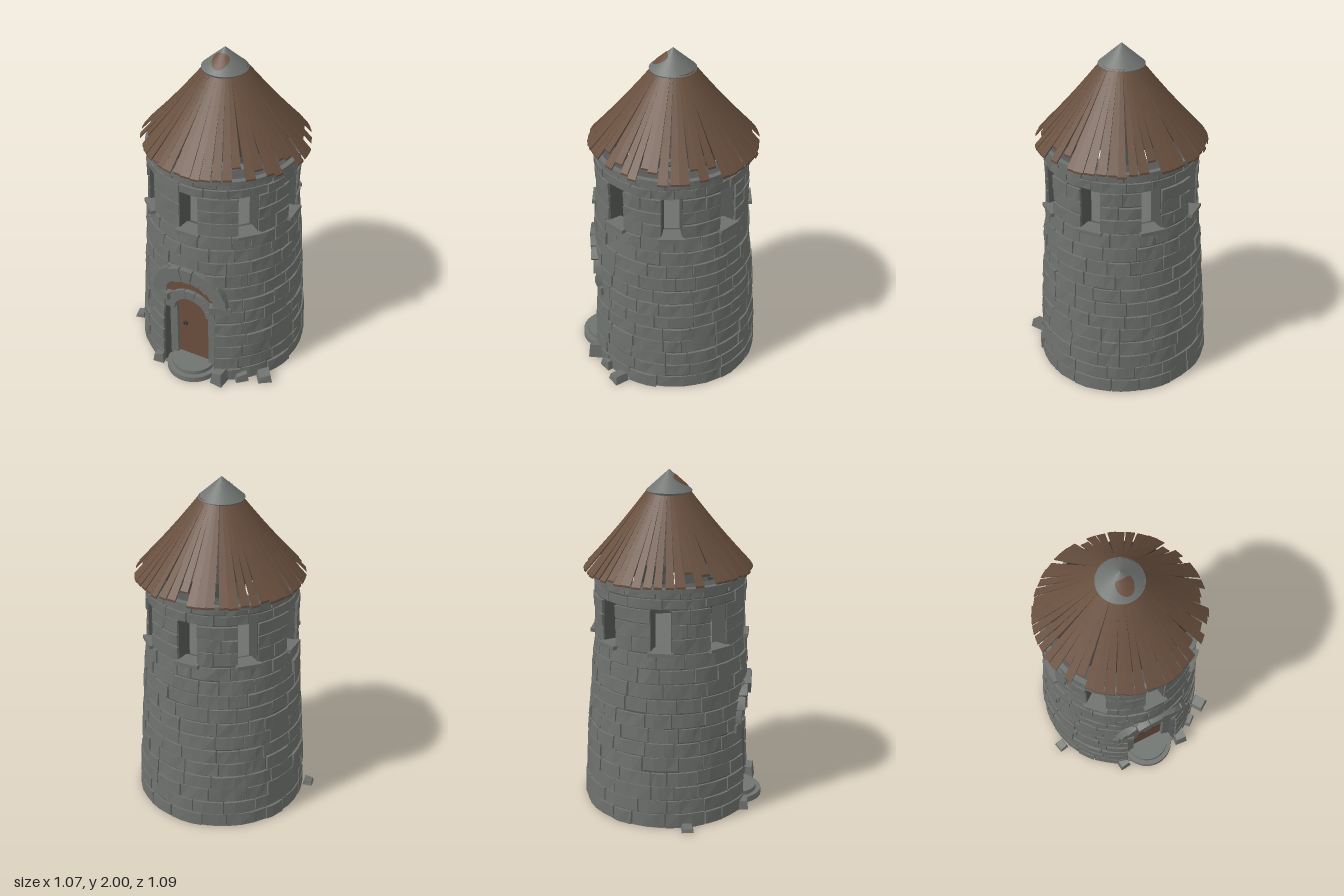
import * as THREE from 'three';
import { mergeGeometries } from 'three/addons/utils/BufferGeometryUtils.js';

const TAU = Math.PI * 2, CX = 0.01;
const mat = (name, color, extra = {}) => {
  const m = new THREE.MeshStandardMaterial({ color, ...extra });
  m.name = name;
  return m;
};
let seed = 7;
const rnd = (a = 0, b = 1) => {
  seed = (seed * 16807) % 2147483647;
  return a + (b - a) * seed / 2147483647;
};
const lerp = THREE.MathUtils.lerp;

// Tower profile: radius and centre at a height
const PROFILE = [[0, 0.512], [0.25, 0.5], [0.5, 0.485], [0.9, 0.458], [1.06, 0.444], [1.5, 0.44]];
function radius(y) {
  for (let i = 1; i < PROFILE.length; i++) {
    const [y0, r0] = PROFILE[i - 1], [y1, r1] = PROFILE[i];
    if (y <= y1) return lerp(r0, r1, (y - y0) / (y1 - y0));
  }
  return 0.44;
}
const centreZ = (y) => -0.032 + 0.012 * Math.min(y / 1.06, 1);
const wallPoint = (a, y, off) => {
  const r = radius(y) + off;
  return [CX + r * Math.sin(a), y, centreZ(y) + r * Math.cos(a)];
};
const wallZ = (x, y) => centreZ(y) + Math.sqrt(radius(y) ** 2 - x * x);

// Curved block following the wall; rough shifts its outer face
function block(a0, a1, y0, y1, off, depth, segs, rough = 0) {
  const sections = [], pos = [];
  for (let i = 0; i <= segs; i++) {
    const a = lerp(a0, a1, i / segs);
    const j = () => off + rnd(-rough, rough);
    sections.push([wallPoint(a, y0, off - depth), wallPoint(a, y0, j()),
      wallPoint(a, y1, j()), wallPoint(a, y1, off - depth)]);
  }
  const quad = (a, b, c, d) => pos.push(...a, ...b, ...c, ...a, ...c, ...d);
  for (let i = 0; i < segs; i++) {
    const s = sections[i], n = sections[i + 1];
    for (let k = 0; k < 4; k++) quad(s[k], n[k], n[(k + 1) % 4], s[(k + 1) % 4]);
  }
  const e = sections[segs];
  quad(...sections[0]);
  quad(e[3], e[2], e[1], e[0]);
  const g = new THREE.BufferGeometry();
  g.setAttribute('position', new THREE.Float32BufferAttribute(pos, 3));
  g.computeVertexNormals();
  return g;
}

// Wedge stones of an arch, each set against the curved wall
function archStones(cy, r0, r1, count, front, depth) {
  const stones = [];
  for (let i = 0; i < count; i++) {
    const a0 = Math.PI * i / count + 0.012, a1 = Math.PI * (i + 1) / count - 0.012;
    const out = r1 + rnd(-0.006, 0.006);
    const s = new THREE.Shape();
    s.absarc(0, 0, out, a0, a1, false);
    s.absarc(0, 0, r0, a1, a0, true);
    const g = new THREE.ExtrudeGeometry(s, { depth, bevelEnabled: false, curveSegments: 4 });
    const x = Math.cos((a0 + a1) / 2) * (r0 + r1) / 2;
    g.translate(CX, cy, front(x) - depth + rnd(-0.005, 0.005));
    stones.push(g);
  }
  return mergeGeometries(stones);
}

export function createModel() {
  const tower = new THREE.Group();
  tower.name = 'stoneTower';
  const stone = mat('stone', 0x6d706d, { flatShading: true });
  const mortar = mat('mortar', 0x555856, { flatShading: true });
  const smoothStone = mat('dressedStone', 0x707471);
  const wood = mat('roofWood', 0x69503f, { flatShading: true });
  const darkWood = mat('shadedWood', 0x3f3128, { side: THREE.DoubleSide });
  const doorWood = mat('doorWood', 0x6a4f3e);
  const iron = mat('iron', 0x35302c);
  const add = (name, geo, material, x = 0, y = 0, z = 0) => {
    const m = new THREE.Mesh(geo, material);
    m.name = name;
    m.position.set(x, y, z);
    tower.add(m);
    return m;
  };

  // Courses of stones over a core, leaving the doorway and eight windows open
  const DOOR = 0.35, WIN = 0.13, stones = [], core = [];
  const rows = [];
  for (let i = 0; i < 12; i++) rows.push([i * 0.0875, (i + 1) * 0.0875]);
  [1.05, 1.14, 1.22, 1.305, 1.365].forEach((y, i, l) => rows.push([y, l[i + 1] ?? 1.42]));
  rows.forEach(([y0, y1], r) => {
    let spans = [[0, TAU]];
    if (r < 8) spans = [[DOOR, TAU - DOOR]];
    if (r >= 12 && r < 15) {
      spans = Array.from({ length: 8 }, (_, i) => [i * TAU / 8 + WIN, (i + 1) * TAU / 8 - WIN]);
    }
    for (const [s0, s1] of spans) {
      const span = s1 - s0, full = span > 6.2;
      core.push(block(s0, s1, y0, y1, -0.01, 0.1, Math.max(4, Math.round(span * 9))));
      const n = Math.max(1, Math.round(span / 0.36 + rnd(-0.4, 0.4)));
      const shift = full ? rnd(0, 0.3) : 0;
      const cuts = Array.from({ length: n + 1 }, (_, i) =>
        s0 + shift + span * (i + (i > 0 && i < n ? rnd(-0.25, 0.25) : 0)) / n);
      for (let i = 0; i < n; i++) {
        const off = rnd(-0.004, 0.006);
        stones.push(block(cuts[i] + 0.007, cuts[i + 1] - 0.007, y0 + rnd(0, 0.007),
          y1 - rnd(0.002, 0.008), off, 0.014 + off, 3, 0.003));
      }
    }
  });
  add('wallCore', mergeGeometries(core), mortar);
  add('wallStones', mergeGeometries(stones), stone);
  add('base', new THREE.CylinderGeometry(0.5, 0.505, 0.01, 48), stone, CX, 0.005, -0.032);
  add('upperFloor', new THREE.CylinderGeometry(0.36, 0.36, 0.02, 32), stone, CX, 1.03, -0.02);
  add('wallTopRing', block(0, TAU, 1.4, 1.425, 0.01, 0.03, 48), stone);

  // Window sills
  for (let i = 0; i < 8; i++) {
    const a = i * TAU / 8, p = wallPoint(a, 1.05, -0.03);
    const sill = add('windowSill', new THREE.BoxGeometry(0.145, 0.022, 0.1), stone, ...p);
    sill.rotation.y = a;
  }

  // Doorway: recessed surround, round-topped door, panel and two arches
  const doorOutline = (path) => {
    path.moveTo(-0.105, 0.03);
    path.lineTo(0.105, 0.03);
    path.lineTo(0.105, 0.445);
    path.absarc(0, 0.445, 0.105, 0, Math.PI, false);
    path.lineTo(-0.105, 0.03);
    return path;
  };
  const surround = new THREE.Shape([[-0.19, 0], [0.19, 0], [0.19, 0.7], [-0.19, 0.7]]
    .map(([x, y]) => new THREE.Vector2(x, y)));
  surround.holes.push(doorOutline(new THREE.Path()));
  const flat = (depth) => ({ depth, bevelEnabled: false, curveSegments: 12 });
  add('doorSurround', new THREE.ExtrudeGeometry(surround, flat(0.045)), stone, CX, 0, 0.345);
  add('door', new THREE.ExtrudeGeometry(doorOutline(new THREE.Shape()), flat(0.02)), doorWood, CX, 0, 0.345);
  const knob = add('doorHandle', new THREE.TorusGeometry(0.012, 0.004, 6, 14), iron, -0.05, 0.3, 0.37);
  knob.scale.z = 1.5;
  const panel = new THREE.Shape().absarc(0, 0.56, 0.175, 0, Math.PI, false);
  add('archPanel', new THREE.ExtrudeGeometry(panel, flat(0.02)), doorWood, CX, 0, 0.38);
  add('innerArch', archStones(0.445, 0.105, 0.165, 7, () => 0.425, 0.06), stone);
  add('outerArch', archStones(0.56, 0.155, 0.245, 9, (x) => wallZ(x, 0.65) + 0.022, 0.1), stone);
  for (const s of [-1, 1]) {
    const spring = add('archSpringer', new THREE.BoxGeometry(0.13, 0.05, 0.1), stone, CX + s * 0.182, 0.533, 0.375);
    spring.rotation.y = s * 0.36;
  }

  // Round door steps
  add('lowerStep', new THREE.CylinderGeometry(0.163, 0.165, 0.035, 40), smoothStone, CX, 0.0175, 0.38);
  add('upperStep', new THREE.CylinderGeometry(0.133, 0.135, 0.025, 40), smoothStone, CX, 0.0475, 0.38);

  // Fallen stones: x, z, width, height, depth, turn
  [[-0.51, 0.14, 0.06, 0.025, 0.07, 0.2], [0.45, 0.3, 0.085, 0.045, 0.09, 0.6], [-0.195, 0.445, 0.07, 0.06, 0.06, 0.1],
    [0.22, 0.445, 0.08, 0.085, 0.095, -0.1], [0.33, 0.37, 0.08, 0.05, 0.06, 0.7]].forEach(([x, z, w, h, d, turn]) => {
    const g = new THREE.BoxGeometry(w, h, d), p = g.attributes.position;
    for (let i = 0; i < p.count; i++) {
      if (p.getY(i) > 0) p.setXYZ(i, p.getX(i) * 0.78, p.getY(i) + p.getX(i) * 0.2, p.getZ(i) * 0.8);
    }
    add('fallenStone', g, stone, x, h / 2 + 0.003, z).rotation.y = turn;
  });

  // Roof: tapered planks with gaps and broken ends over a short inner cone
  const RX = 0.018, RZ = -0.03, COUNT = 52, planks = [];
  const roofR = (t) => lerp(0.115, 0.492, t);
  const roofY = (t) => lerp(1.885, 1.43, t) - 0.012 * Math.sin(Math.PI * t);
  for (let i = 0; i < COUNT; i++) {
    const a = (i + rnd(-0.12, 0.12)) * TAU / COUNT, wide = rnd(0.76, 1.02);
    const end = rnd() < 0.15 ? rnd(0.82, 0.9) : rnd(0.965, 1.005);
    const lift = rnd(0, 0.008), skew = rnd(-0.012, 0.012);
    const g = new THREE.BoxGeometry(1, 0.012, 1, 1, 1, 5), p = g.attributes.position;
    for (let k = 0; k < p.count; k++) {
      const t = (p.getZ(k) + 0.5) * end;
      const b = a + skew * t + p.getX(k) * (TAU / COUNT) * lerp(1.08, wide, Math.min(1, t * 1.3));
      p.setXYZ(k, roofR(t) * Math.sin(b), roofY(t) + p.getY(k) + lift * t, roofR(t) * Math.cos(b));
    }
    const plank = g.toNonIndexed();
    plank.computeVertexNormals();
    planks.push(plank);
  }
  add('roofPlanks', mergeGeometries(planks), wood, RX, 0, RZ);
  const lining = [0, 0.25, 0.5, 0.72].map((t) => new THREE.Vector2(roofR(t), roofY(t) - 0.012));
  add('roofLining', new THREE.LatheGeometry(lining, 48), darkWood, RX, 0, RZ);

  // Roof cap with a worn patch on its front
  const capR = (y) => 0.132 * (2 - y) / 0.118;
  add('roofCap', new THREE.ConeGeometry(0.132, 0.118, 32), smoothStone, 0.012, 1.941, -0.024);
  add('capRim', new THREE.CylinderGeometry(0.132, 0.126, 0.012, 32), smoothStone, 0.012, 1.877, -0.024);
  const patch = new THREE.RingGeometry(0.001, 1, 20, 4), pp = patch.attributes.position;
  for (let i = 0; i < pp.count; i++) {
    const y = 1.94 + 0.034 * pp.getY(i), x = 0.05 * pp.getX(i), r = capR(y) + 0.004;
    pp.setXYZ(i, x, y, Math.sqrt(Math.max(0, r * r - x * x)));
  }
  patch.computeVertexNormals();
  add('capPatch', patch, doorWood, 0.012, 0, -0.024);

  return tower;
}
